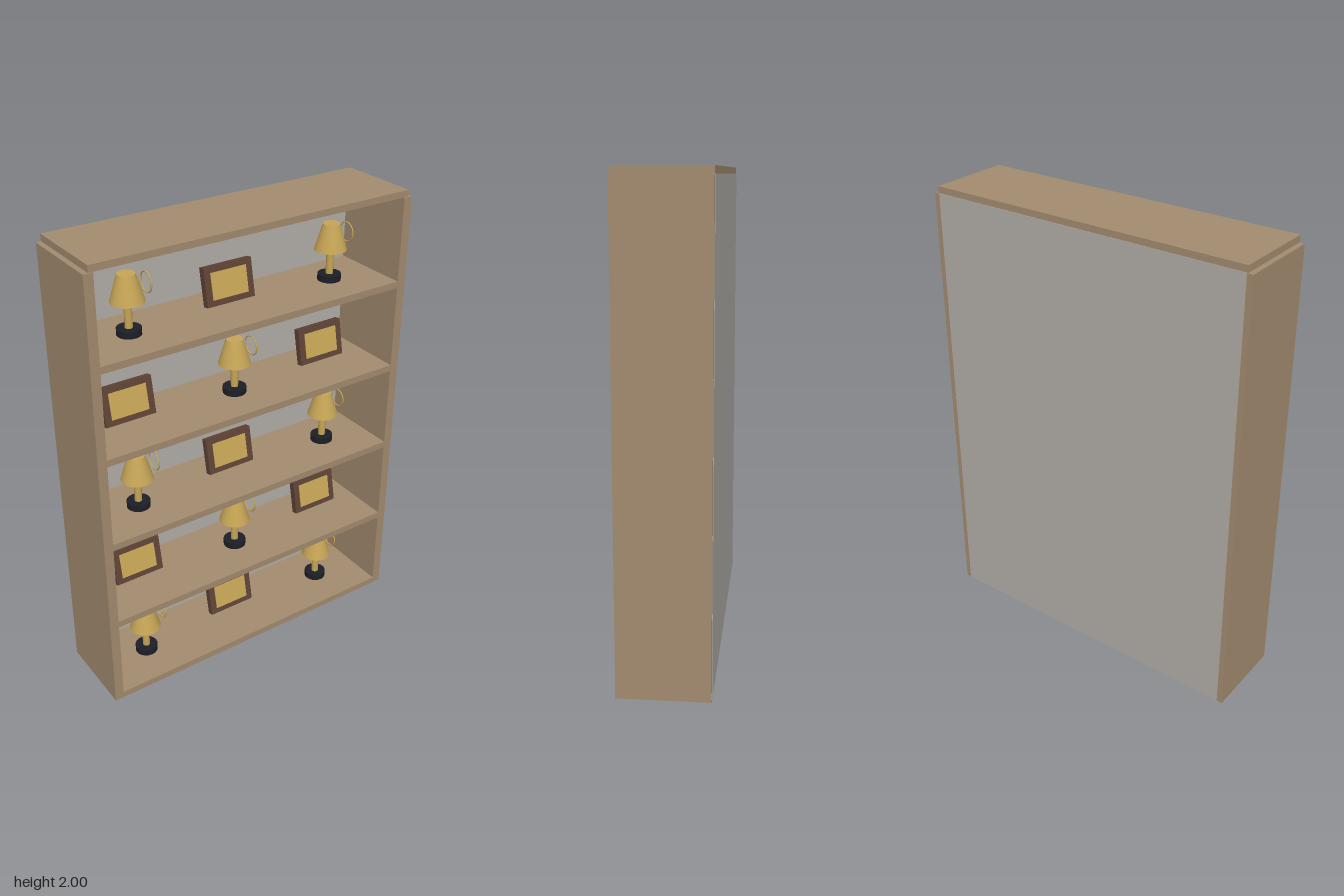
import * as THREE from 'three';

const material = (name, color) => {
  const m = new THREE.MeshStandardMaterial({ color });
  m.name = name;
  return m;
};

export function createModel() {
  const wood = material('wood', 0xa38b6f);
  const panel = material('backPanelGrey', 0xb1ada7);
  const gold = material('gold', 0xc6a556);
  const darkWood = material('darkFrame', 0x5f4236);
  const black = material('black', 0x1d1f27);

  const root = new THREE.Group();
  root.name = 'displayShelf';

  const add = (parent, name, geometry, mat, x = 0, y = 0, z = 0) => {
    const mesh = new THREE.Mesh(geometry, mat);
    mesh.name = name;
    mesh.position.set(x, y, z);
    parent.add(mesh);
    return mesh;
  };
  const box = (w, h, d) => new THREE.BoxGeometry(w, h, d);

  // Case: two sides, a narrower top board and a thin back
  for (const [name, s] of [['leftSide', 1], ['rightSide', -1]]) {
    add(root, name, box(0.04, 1.97, 0.37), wood, s * 0.725, 0.985, 0);
  }
  add(root, 'topBoard', box(1.45, 0.028, 0.37), wood, 0, 1.986, 0);
  add(root, 'backPanel', box(1.44, 1.97, 0.009), panel, 0, 0.987, -0.1825);

  // Table lamp with a ring handle beside the shade
  const baseGeo = new THREE.CylinderGeometry(0.05, 0.05, 0.028, 20);
  const stemGeo = new THREE.CylinderGeometry(0.016, 0.016, 0.11, 16);
  const shadeGeo = new THREE.CylinderGeometry(0.036, 0.069, 0.112, 20);
  const ringGeo = new THREE.TorusGeometry(0.041, 0.003, 8, 28);
  const addLamp = (x, y) => {
    const lamp = new THREE.Group();
    lamp.name = 'lamp';
    lamp.position.set(x, y, 0);
    add(lamp, 'lampBase', baseGeo, black, 0, 0.014, 0);
    add(lamp, 'lampStem', stemGeo, gold, 0, 0.082, 0);
    add(lamp, 'lampShade', shadeGeo, gold, 0, 0.19, 0);
    add(lamp, 'lampRing', ringGeo, gold, 0.083, 0.193, 0).rotation.y = Math.PI / 2;
    root.add(lamp);
  };

  // Picture frame leaning back
  const frameGeo = box(0.228, 0.162, 0.03);
  const pictureGeo = box(0.17, 0.112, 0.004);
  const addFrame = (x, y) => {
    const frame = new THREE.Group();
    frame.name = 'pictureFrame';
    frame.position.set(x, y + 0.082, -0.05);
    frame.rotation.x = -0.2;
    add(frame, 'frameBody', frameGeo, darkWood);
    add(frame, 'framePicture', pictureGeo, gold, 0, 0, 0.0155);
    root.add(frame);
  };

  // Five shelves with alternating lamps and frames
  for (let i = 0; i < 5; i++) {
    const top = 0.03 + i * 0.3945;
    add(root, 'shelf', box(1.41, 0.03, 0.37), wood, 0, top - 0.015, 0);
    for (const x of [-0.483, 0, 0.483]) {
      if ((x === 0) === (i % 2 === 1)) addLamp(x, top);
      else addFrame(x, top);
    }
  }
  return root;
}
